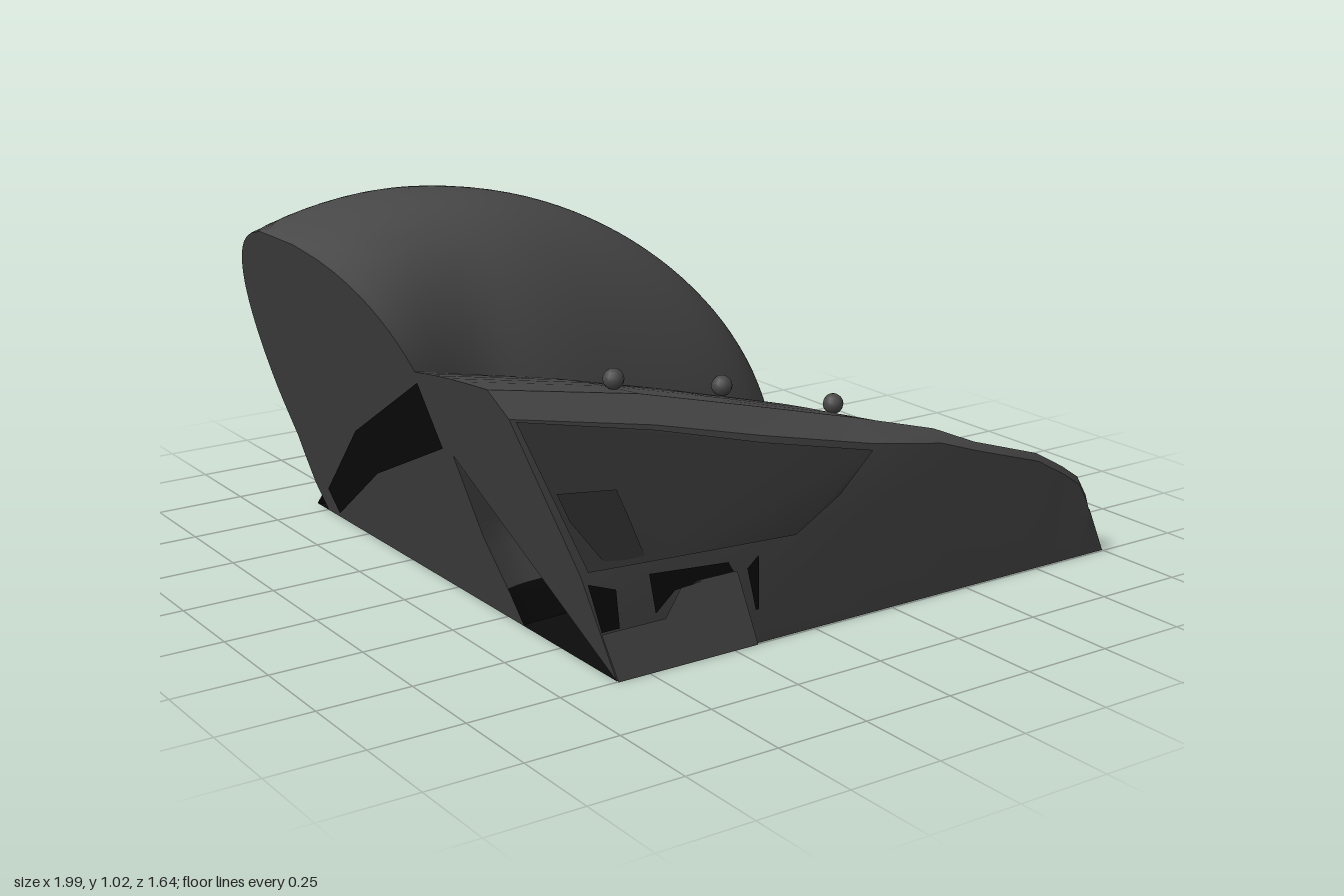
import * as THREE from 'three';
import { toCreasedNormals, mergeVertices } from 'three/addons/utils/BufferGeometryUtils.js';

const mat = (name, color) => {
  const m = new THREE.MeshStandardMaterial({ color, side: THREE.DoubleSide });
  m.name = name;
  return m;
};

// Sloping plane that slices off the -x side
const plane = y => -0.59 - 0.418 * y;
const cut = (x, y) => Math.max(x, plane(y));
// Diagonal back edge of the base triangle
const diagonal = x => -0.82 + (Math.max(x, -0.59) + 0.59) * 0.983;

// Skin a list of equal-length point rows
function skin(rows, capStart = false, crease = 0.6) {
  const n = rows[0].length, index = [];
  for (let i = 0; i < rows.length - 1; i++)
    for (let j = 0; j < n - 1; j++) {
      const a = i * n + j, b = a + n;
      index.push(a, a + 1, b, b, a + 1, b + 1);
    }
  if (capStart) for (let j = 1; j < n - 1; j++) index.push(n - 1, j, j - 1);
  const g = new THREE.BufferGeometry();
  g.setAttribute('position', new THREE.Float32BufferAttribute(rows.flat(2), 3));
  g.setIndex(index);
  return toCreasedNormals(mergeVertices(g, 1e-4), crease);
}

// Dome radius factor at a height
function domeRadius(y) {
  const h = Math.max(0, (y - 0.15) / 0.87);
  return Math.sqrt(Math.max(0, 1 - h * h));
}

// Point on the dome; s runs -1..1 from the cut's back edge round to its front edge
const domeAngle = (y, s) =>
  s * Math.acos(THREE.MathUtils.clamp((plane(y) + 0.6) / (1.02 * domeRadius(y) + 1e-6), -1, 1));
function domePoint(y, s) {
  const r = domeRadius(y), a = domeAngle(y, s);
  const side = r ** 0.78 * Math.sin(a) * (1 + 0.45 * Math.max(0, 0.26 - y));
  const x = -0.6 + 1.02 * r * Math.cos(a);
  let z = -0.215 + 0.36 * Math.max(0, x + 0.3) ** 2 + 0.04 * Math.max(0, y - 0.4) + 0.495 * side;
  if (a > 0) z += 2 * Math.max(0, -0.55 - x) ** 2 * side;
  return [x, y, z];
}

// Bring a rim point down to the base, inside the diagonal
function basePoint([x, , z]) {
  x = Math.max(x, -0.59);
  if (z < diagonal(x)) {
    const t = THREE.MathUtils.clamp((x + 0.59) * 0.713 + (z + 0.82) * 0.701, 0, 2.23);
    return [-0.59 + 0.713 * t, 0, -0.82 + 0.701 * t];
  }
  return [x, 0, z];
}

// Brim sections: x, back z, back y, front z, front y, chamfer z, chamfer drop
const sections = [
  [-1, 0.2, 0.68, 0.71, 0.755, 0.76, 0.06],
  [-0.5, 0.1, 0.58, 0.71, 0.68, 0.77, 0.06],
  [-0.2, 0.05, 0.5, 0.72, 0.605, 0.78, 0.06],
  [0.12, 0, 0.4, 0.74, 0.525, 0.805, 0.05],
  [0.35, -0.17, 0.2, 0.77, 0.465, 0.805, 0.03],
  [0.48, -0.2, 0.08, 0.78, 0.41, 0.8, 0.02],
  [0.7, 0, 0.07, 0.78, 0.34, 0.79, 0.02],
  [0.8, 0.1, 0.07, 0.775, 0.285, 0.783, 0.02],
  [0.87, 0.2, 0.07, 0.765, 0.24, 0.775, 0.02],
  [0.91, 0.35, 0.07, 0.76, 0.18, 0.768, 0.02],
  [0.92, 0.5, 0.07, 0.757, 0.155, 0.766, 0.02],
  [0.926, 0.73, 0.12, 0.75, 0.145, 0.763, 0.01],
  [1, 0.735, 0, 0.74, 0.004, 0.744, 0.002],
];
const lean = y => 0.745 + 0.144 * y;

// Depth of the front wall
function wallZ(x, y) {
  let i = 0;
  while (i < sections.length - 2 && sections[i + 1][0] < x) i++;
  const [p, q] = [sections[i], sections[i + 1]];
  const t = (x - p[0]) / (q[0] - p[0]);
  const mix = f => f(p) * (1 - t) + f(q) * t;
  const top = mix(s => s[4] - s[6]), zTop = mix(s => s[5]);
  const mid = Math.min(0.3, 0.65 * top);
  if (y <= mid) return lean(y);
  return lean(mid) + (zTop - lean(mid)) * Math.min(1, (y - mid) / (top - mid));
}

// Thin painted face that follows the front wall
function frontPlate(points, depth) {
  const g = new THREE.ShapeGeometry(new THREE.Shape(points.map(p => new THREE.Vector2(...p))));
  const pos = g.attributes.position;
  for (let i = 0; i < pos.count; i++) pos.setZ(i, depth(pos.getX(i), pos.getY(i)));
  g.computeVertexNormals();
  return g;
}

export function createModel() {
  const group = new THREE.Group();
  const gray = mat('shell gray', 0x484848);
  const dark = mat('visor dark gray', 0x3c3c3c);
  const light = mat('vent light gray', 0x5a5a5a);
  const black = mat('underside black', 0x0c0c0c);
  const add = (name, geometry, material) => {
    const mesh = new THREE.Mesh(geometry, material);
    mesh.name = name;
    group.add(mesh);
    return mesh;
  };

  // Dome with a ragged dark band round its foot, thinning towards the cut and the brim
  const steps = Array.from({ length: 97 }, (_, i) => (i / 96) * 2 - 1);
  const ragged = s => {
    const a = domeAngle(0.2, s), { smoothstep } = THREE.MathUtils;
    const wave = 0.02 * Math.sin(11 * a) + 0.01 * Math.sin(27 * a + 1);
    return 0.11 + (0.15 + wave) * (1 - smoothstep(-a, 0.9, 1.55)) * smoothstep(-a, 0, 0.5);
  };
  const heights = Array.from({ length: 37 }, (_, k) => 0.09 + 0.93 * Math.cos((k / 36) * Math.PI / 2));
  add('dome', skin(heights.map(y => steps.map(s => domePoint(Math.max(y, ragged(s)), s)))), gray);
  const bandRows = [0, 0.5, 1].map(t =>
    steps.map(s => domePoint(ragged(s) * (1 - t) + 0.09 * t, s)));
  bandRows.push(bandRows[2].map(basePoint));
  add('domeFoot', skin(bandRows), black);

  // Flat face where the dome is sliced, with a dark groove across it
  const faceRows = heights.map(y => [domePoint(y, 1), domePoint(y, -1)]);
  faceRows.push(faceRows[36].map(basePoint));
  add('cutFace', skin(faceRows), gray);
  const groove = [[0.68, 0.34, 0.5, 0.32], [0.4, -0.22, 0.28, -0.2], [0.1, -0.65, 0.02, -0.65]];
  add('cutGroove', skin(groove.map(([y1, z1, y2, z2]) =>
    [[plane(y2) - 0.005, y2, z2], [plane(y1) - 0.005, y1, z1]])), black);

  // Brim top and front wall
  const brimRows = sections.map(([x, zb, yb, zf, yf, zc, drop]) => {
    const row = [];
    for (let k = 0; k <= 8; k++) {
      const t = k / 8;
      row.push([yb + (yf - yb) * t + 0.12 * (yf - yb) * Math.sin(Math.PI * t), zb + (zf - zb) * t]);
    }
    const top = yf - drop, mid = Math.min(0.3, 0.65 * top);
    row.push([top, zc], [mid, lean(mid)], [0, 0.745]);
    return row.map(([y, z]) => [cut(x, y), y, z]);
  });
  add('brim', skin(brimRows, true, 0.5), gray);

  // Underside between the wall foot, the diagonal and the brim edge
  const underRows = sections.map(([x, zb, yb]) => {
    const d = Math.min(diagonal(x), 0.744);
    return [[0, 0.745], [0, d], [yb, zb]].map(([y, z]) => [cut(x, y), y, z]);
  });
  add('underside', skin(underRows), black);

  // Front visor and mouth details
  const onWall = (x, y) => wallZ(x, y) + 0.008;
  add('visor', frontPlate([[-0.87, 0.69], [-0.7, 0.31], [-0.5, 0.3], [-0.2, 0.285], [-0.1, 0.28],
    [0.03, 0.36], [0.12, 0.46], [-0.2, 0.53], [-0.5, 0.61]], onWall), dark);
  add('cheekLip', frontPlate([[-0.8, 0.525], [-0.76, 0.45], [-0.66, 0.33], [-0.54, 0.31],
    [-0.6, 0.43], [-0.64, 0.505]], (x, y) => lean(y) + 0.004), dark);
  add('vent', frontPlate([[-0.59, 0], [-0.65, 0.14], [-0.47, 0.14], [-0.43, 0.22],
    [-0.27, 0.22], [-0.18, 0]], onWall), light);
  const slots = [
    [[-0.7, 0.28], [-0.65, 0.145], [-0.6, 0.145], [-0.62, 0.25]],
    [[-0.53, 0.27], [-0.5, 0.16], [-0.45, 0.21], [-0.28, 0.22], [-0.3, 0.25]],
    [[-0.24, 0.22], [-0.2, 0.1], [-0.19, 0.1], [-0.21, 0.25]],
  ];
  for (const s of slots) add('ventSlot', frontPlate(s, onWall), black);

  // Rivets along the brim
  for (const [x, y, z] of [[-0.52, 0.7, 0.63], [-0.2, 0.63, 0.62], [0.13, 0.535, 0.64]])
    add('rivet', new THREE.SphereGeometry(0.026, 12, 8), gray).position.set(x, y, z);

  return group;
}
